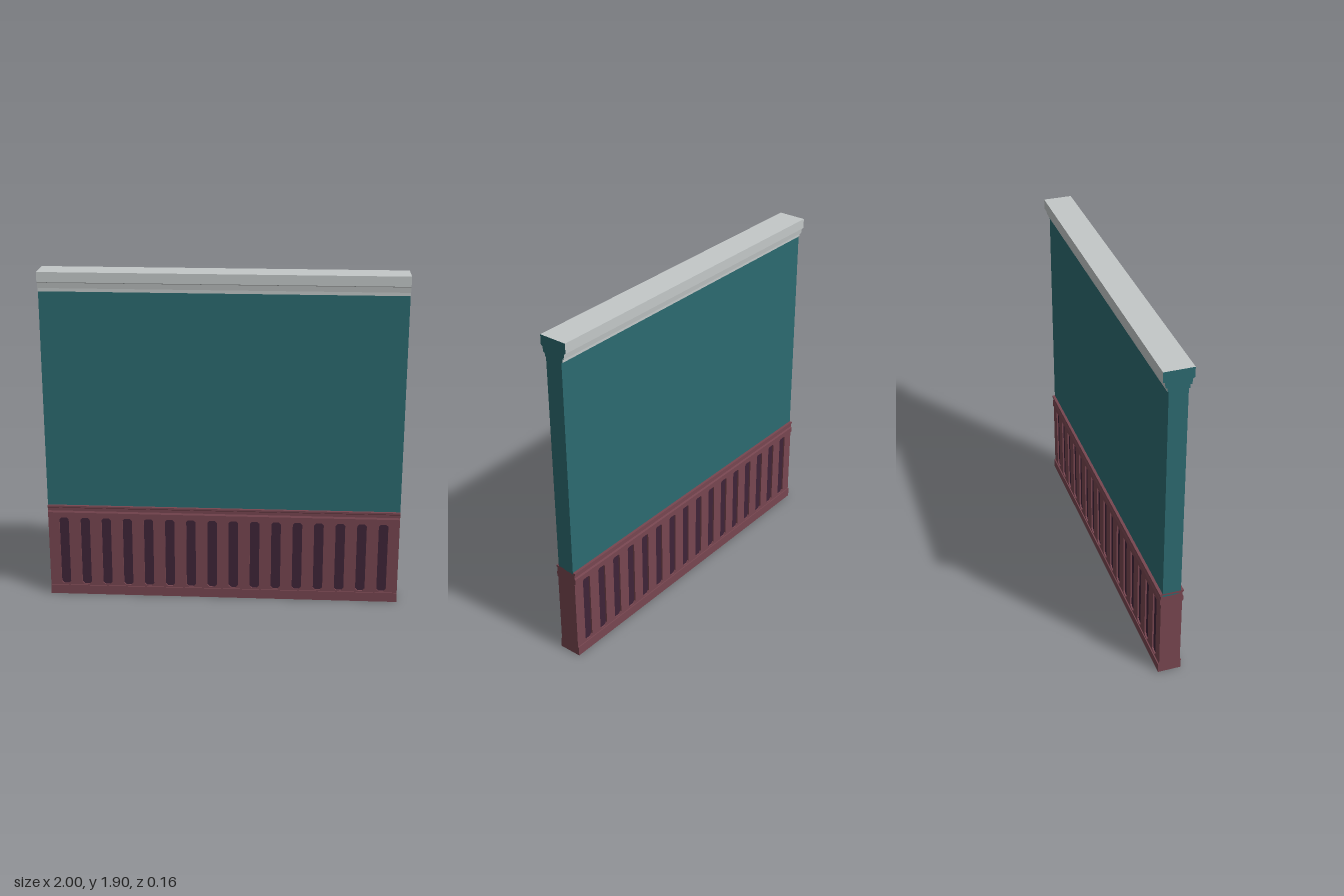
import * as THREE from 'three';

const mat = (name, color) => {
  const m = new THREE.MeshStandardMaterial({ color });
  m.name = name;
  return m;
};

export function createModel() {
  const teal = mat('teal plaster', 0x2c6a70);
  const maroon = mat('maroon panelling', 0x774650);
  const plum = mat('dark plum recess', 0x3f2438);
  const grey = mat('light grey trim', 0xc3c8c8);
  const group = new THREE.Group();
  const add = (name, geometry, material, parent = group) => {
    const mesh = new THREE.Mesh(geometry, material);
    mesh.name = name;
    parent.add(mesh);
    return mesh;
  };

  // Sweep a mirrored [halfDepth, y] profile along the full width of the wall
  const sweep = (half) => {
    const pts = [...half, ...half.map(([z, y]) => [-z, y]).reverse()];
    const shape = new THREE.Shape(pts.map(([z, y]) => new THREE.Vector2(z, y)));
    return new THREE.ExtrudeGeometry(shape, { depth: 2, bevelEnabled: false })
      .translate(0, 0, -1).rotateY(Math.PI / 2);
  };

  // Plain upper wall
  add('wall', new THREE.BoxGeometry(2, 1.26, 0.1).translate(0, 1.16, 0), teal);

  // Stepped cornice, with ends in the wall colour
  add('cornice', sweep([
    [0.05, 1.79], [0.057, 1.79], [0.057, 1.81], [0.066, 1.81],
    [0.07, 1.84], [0.08, 1.845], [0.08, 1.9],
  ]), [teal, grey]);

  // Base board and moulded rail of the panelling
  add('baseBoard', new THREE.BoxGeometry(2, 0.055, 0.13).translate(0, 0.0275, 0),
    [maroon, maroon, maroon, grey, maroon, maroon]);
  add('panelRail', sweep([
    [0.06, 0.478], [0.065, 0.478], [0.065, 0.508], [0.06, 0.518],
    [0.06, 0.535], [0.066, 0.54], [0.066, 0.55],
  ]), maroon);

  // Core behind the slots: plum faces, maroon ends
  add('panelCore', new THREE.BoxGeometry(2, 0.425, 0.1).translate(0, 0.2665, 0),
    [maroon, maroon, maroon, maroon, plum, plum]);

  // Slotted panel, the same on both sides
  const panel = new THREE.Shape([[-1, 0.054], [1, 0.054], [1, 0.48], [-1, 0.48]]
    .map(([x, y]) => new THREE.Vector2(x, y)));
  const slots = 16, w = 0.027, c = 0.013, y0 = 0.062, y1 = 0.476;
  for (let i = 0; i < slots; i++) {
    const x = (i - (slots - 1) / 2) * 0.1213;
    panel.holes.push(new THREE.Path([
      [-w + c, y0], [-w, y0 + c], [-w, y1 - c], [-w + c, y1],
      [w - c, y1], [w, y1 - c], [w, y0 + c], [w - c, y0],
    ].map(([dx, y]) => new THREE.Vector2(x + dx, y))));
  }
  const panelGeometry = new THREE.ExtrudeGeometry(panel, { depth: 0.009, bevelEnabled: false })
    .translate(0, 0, 0.05);
  add('frontSlottedPanel', panelGeometry, maroon);
  add('backSlottedPanel', panelGeometry, maroon).rotation.y = Math.PI;

  return group;
}
